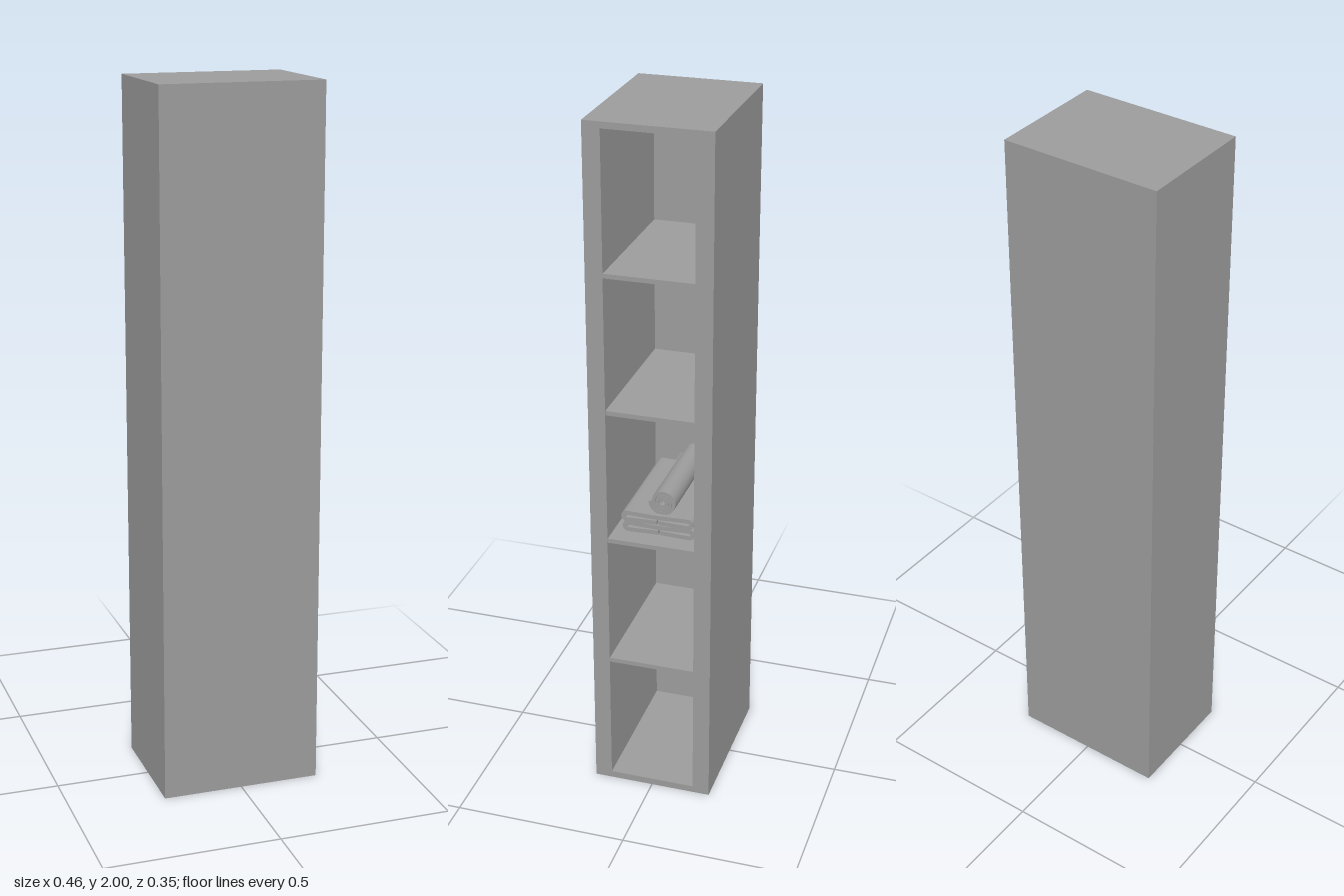
import * as THREE from 'three';
import { toCreasedNormals } from 'three/addons/utils/BufferGeometryUtils.js';

const W = 0.459, H = 2, D = 0.348;   // outer size of the cabinet
const BACK = 0.02;                   // thickness of the closed -x panel
const OPEN_Z = 0.125, OPEN_Y0 = 0.02, OPEN_Y1 = 1.982;

const material = new THREE.MeshStandardMaterial({ color: 0x9b9b9b });

function add(parent, name, geometry, x = 0, y = 0, z = 0) {
  const mesh = new THREE.Mesh(geometry, material);
  mesh.name = name;
  mesh.position.set(x, y, z);
  parent.add(mesh);
  return mesh;
}

// Extrude a shape drawn in (z, y) along x, from xFront back by length
function extrudeX(shape, xFront, length) {
  return new THREE.ExtrudeGeometry(shape, { depth: length, bevelEnabled: false })
    .rotateY(-Math.PI / 2)
    .translate(xFront, 0, 0);
}

// Cloth of even thickness that follows a path in (z, y)
function cloth(points, thickness, xFront, length) {
  const left = [], right = [];
  points.forEach((p, i) => {
    const a = points[Math.max(i - 1, 0)], b = points[Math.min(i + 1, points.length - 1)];
    const n = new THREE.Vector2(a.y - b.y, b.x - a.x).setLength(thickness / 2);
    left.push(p.clone().add(n));
    right.push(p.clone().sub(n));
  });
  const shape = new THREE.Shape([...right, ...left.reverse()]);
  // Normals are merged at a larger scale, as the merge is too coarse for thin cloth
  const geometry = extrudeX(shape, xFront, length).scale(100, 100, 100);
  return toCreasedNormals(geometry, 0.8).scale(0.01, 0.01, 0.01);
}

// Path of a towel folded in at both ends, fuller at the folds, with its seam below
function foldPath() {
  const half = 0.089, r = 0.0102, pts = [];
  const rise = (z) => r - 0.0022 * Math.cos((z / half) * Math.PI / 2) ** 2;
  const run = (from, to, side) => {
    for (let i = 0; i <= 12; i++) {
      const z = from + (to - from) * i / 12;
      pts.push(new THREE.Vector2(z, side * rise(z)));
    }
  };
  const bend = (side) => {
    for (let i = 1; i < 10; i++) {
      const a = -side * Math.PI / 2 + Math.PI * i / 10;
      pts.push(new THREE.Vector2(side * (half + Math.cos(a) * r), side * Math.sin(a) * side * r));
    }
  };
  const foldedEnd = (side) => {
    for (let i = 1; i < 10; i++) {
      const a = Math.PI * i / 10;
      pts.push(new THREE.Vector2(side * (half + Math.sin(a) * r), -side * Math.cos(a) * r));
    }
  };
  run(0.002, half, -1);
  foldedEnd(1);
  run(half, -half, 1);
  foldedEnd(-1);
  run(-half, -0.002, -1);
  return pts;
}

// Spiral path of a rolled towel
function rollPath(rInner, rOuter, turns) {
  const pts = [], n = turns * 24;
  for (let i = 0; i <= n; i++) {
    const a = (i / 24) * Math.PI * 2, r = rInner + (rOuter - rInner) * i / n;
    pts.push(new THREE.Vector2(Math.cos(a) * r, Math.sin(a) * r));
  }
  return pts;
}

export function createModel() {
  const model = new THREE.Group();
  model.name = 'shelfCabinet';

  // Casing: thick walls around one tall opening on the +x side
  const frame = new THREE.Shape([
    new THREE.Vector2(-D / 2, 0), new THREE.Vector2(D / 2, 0),
    new THREE.Vector2(D / 2, H), new THREE.Vector2(-D / 2, H),
  ]);
  frame.holes.push(new THREE.Path([
    new THREE.Vector2(-OPEN_Z, OPEN_Y0), new THREE.Vector2(-OPEN_Z, OPEN_Y1),
    new THREE.Vector2(OPEN_Z, OPEN_Y1), new THREE.Vector2(OPEN_Z, OPEN_Y0),
  ]));
  add(model, 'casing', extrudeX(frame, W / 2, W - BACK));
  add(model, 'closedPanel', new THREE.BoxGeometry(BACK, H, D), -W / 2 + BACK / 2, H / 2, 0);

  // Four shelves make five equal compartments
  const shelfW = W - BACK - 0.002;
  const shelves = new THREE.Group();
  shelves.name = 'shelves';
  model.add(shelves);
  for (let i = 1; i <= 4; i++) {
    const y = OPEN_Y0 + (OPEN_Y1 - OPEN_Y0) * i / 5;
    add(shelves, 'shelf', new THREE.BoxGeometry(shelfW, 0.013, OPEN_Z * 2), BACK / 2 - 0.001, y, 0);
  }

  // Two folded towels with a rolled one on top, in the middle compartment
  const towels = new THREE.Group();
  towels.name = 'towels';
  model.add(towels);
  const folded = cloth(foldPath(), 0.0125, 0.17, 0.34);
  add(towels, 'foldedTowelLower', folded, 0, 0.828, -0.005);
  add(towels, 'foldedTowelUpper', folded, 0, 0.859, -0.001);
  add(towels, 'rolledTowel', cloth(rollPath(0.006, 0.037, 3), 0.0095, 0.157, 0.314), 0, 0.91, -0.013);

  return model;
}
